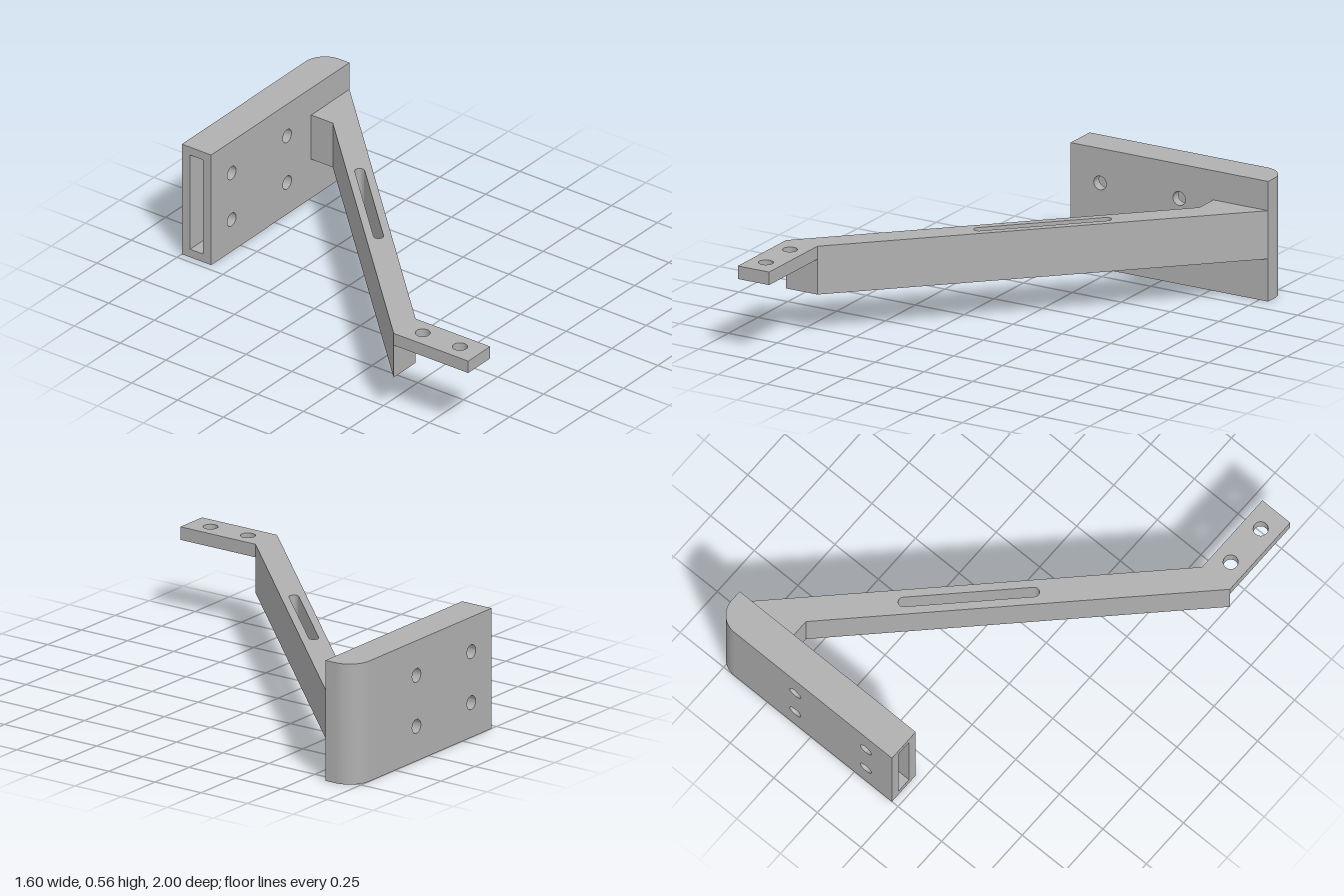
import * as THREE from 'three';
import { toCreasedNormals } from 'three/addons/utils/BufferGeometryUtils.js';

const metal = new THREE.MeshStandardMaterial({ color: 0xb0b0b0 });
metal.name = 'grey metal';

function polygon(points) {
  return new THREE.Shape(points.map(([x, y]) => new THREE.Vector2(x, y)));
}

function addHole(shape, x, y, r) {
  shape.holes.push(new THREE.Path().absarc(x, y, r, 0, Math.PI * 2, true));
}

function extrude(shape, depth) {
  return new THREE.ExtrudeGeometry(shape, { depth, bevelEnabled: false, curveSegments: 16 });
}

// Plan shapes use (x, -z) and rise from y0 to y1
function plan(shape, y0, y1) {
  return extrude(shape, y1 - y0).rotateX(-Math.PI / 2).translate(0, y0, 0);
}

function part(name, geometry) {
  const mesh = new THREE.Mesh(toCreasedNormals(geometry, 0.5), metal);
  mesh.name = name;
  return mesh;
}

function createPlate() {
  const plate = new THREE.Group();
  plate.name = 'mountingPlate';
  const left = -0.215, inner = 0.69, right = 0.795, top = 0.555;
  const back = -1, slotBack = -0.955, slotFront = -0.885, front = -0.84;

  // Drilled walls on both sides of the hollow slot
  for (const [name, z0, z1] of [['backWall', back, slotBack], ['frontWall', slotFront, front]]) {
    const wall = polygon([[left, 0], [inner, 0], [inner, top], [left, top]]);
    for (const x of [-0.065, 0.34]) {
      for (const y of [0.16, 0.395]) addHole(wall, x, y, 0.032);
    }
    plate.add(part(name, extrude(wall, z1 - z0).translate(0, 0, z0)));
  }

  // Strips that close the slot above and below
  for (const [name, y] of [['bottomStrip', 0.02], ['topStrip', top - 0.02]]) {
    const strip = new THREE.BoxGeometry(inner - left, 0.04, slotFront - slotBack);
    strip.translate((left + inner) / 2, y, (slotFront + slotBack) / 2);
    plate.add(part(name, strip));
  }

  // Solid end with a rounded back corner
  const r = right - inner;
  const end = new THREE.Shape();
  end.moveTo(inner, -front);
  end.lineTo(right, -front);
  end.lineTo(right, -back - r);
  end.absarc(inner, -back - r, r, 0, Math.PI / 2, false);
  end.lineTo(inner, -front);
  plate.add(part('roundedEnd', plan(end, 0, top)));
  return plate;
}

function createArm() {
  // Diagonal beam with a widened root
  const shape = polygon([
    [-0.8, -0.593], [-0.64, -0.593], [0.795, 0.84], [0.515, 0.84], [0.515, 0.722],
  ]);

  // Long slot along the beam
  const slot = new THREE.Path();
  const r = 0.022, a = Math.PI / 4;
  slot.absarc(0.25, 0.377, r, -a, 3 * a, false);
  slot.absarc(-0.157, -0.03, r, 3 * a, 7 * a, false);
  slot.closePath();
  shape.holes.push(slot);
  return part('diagonalArm', plan(shape, 0.197, 0.42));
}

function createFoot() {
  // Thin tab with two screw holes
  const tab = polygon([[-0.8, -1], [-0.64, -1], [-0.64, -0.593], [-0.8, -0.593]]);
  for (const z of [0.692, 0.895]) addHole(tab, -0.72, -z, 0.033);
  return part('mountingTab', plan(tab, 0.36, 0.42));
}

export function createModel() {
  const model = new THREE.Group();
  model.name = 'bracket';
  model.add(createPlate(), createArm(), createFoot());
  return model;
}
